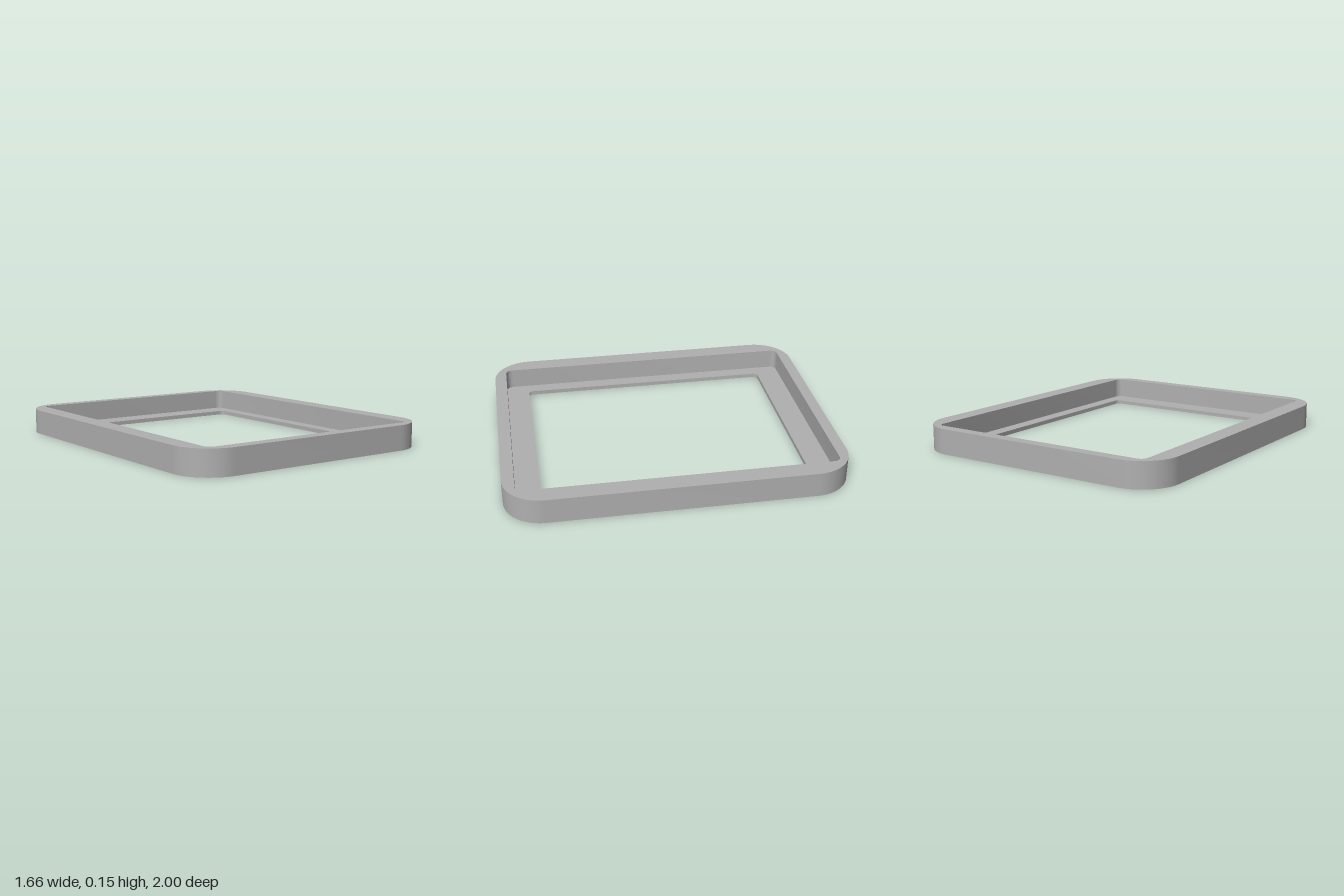
import * as THREE from 'three';
import { toCreasedNormals } from 'three/addons/utils/BufferGeometryUtils.js';

// Rounded rectangle; shape y points to the back (-z)
function roundedRect(path, halfX, back, front, r) {
  path.moveTo(halfX, -front + r);
  path.lineTo(halfX, back - r);
  path.absarc(halfX - r, back - r, r, 0, Math.PI / 2);
  path.lineTo(-halfX + r, back);
  path.absarc(-halfX + r, back - r, r, Math.PI / 2, Math.PI);
  path.lineTo(-halfX, -front + r);
  path.absarc(-halfX + r, -front + r, r, Math.PI, Math.PI * 1.5);
  path.lineTo(halfX - r, -front);
  path.absarc(halfX - r, -front + r, r, Math.PI * 1.5, Math.PI * 2);
  return path;
}

// Ring between an outline and an opening, from height y0 to y1
function ring(name, opening, y0, y1, material) {
  const shape = roundedRect(new THREE.Shape(), 0.83, 1, 1, 0.23);
  shape.holes.push(opening);
  const flat = new THREE.ExtrudeGeometry(shape, { depth: y1 - y0, bevelEnabled: false, curveSegments: 20 });
  flat.rotateX(-Math.PI / 2);
  flat.translate(0, y0, 0);
  const mesh = new THREE.Mesh(toCreasedNormals(flat, 0.6), material);
  mesh.name = name;
  return mesh;
}

export function createModel() {
  const group = new THREE.Group();
  group.name = 'bezelFrame';
  const grey = new THREE.MeshStandardMaterial({ color: 0xb0b0b0 });
  grey.name = 'grey';

  // Outer wall around the recess
  const recess = roundedRect(new THREE.Path(), 0.717, 0.933, 0.927, 0.04);
  group.add(ring('outerWall', recess, 0.025, 0.15, grey));

  // Inner lip at the bottom
  const opening = roundedRect(new THREE.Path(), 0.633, 0.785, 0.797, 0.035);
  group.add(ring('innerLip', opening, 0, 0.019, grey));

  // Thin top of the lip, overhanging slightly along the front edge
  const r = 0.035, x = 0.633, back = 0.785;
  const lipTop = new THREE.Path();
  lipTop.moveTo(x, -0.762);
  lipTop.lineTo(x, back - r);
  lipTop.absarc(x - r, back - r, r, 0, Math.PI / 2);
  lipTop.lineTo(-x + r, back);
  lipTop.absarc(-x + r, back - r, r, Math.PI / 2, Math.PI);
  lipTop.lineTo(-x, -0.762);
  lipTop.lineTo(-x + 0.008, -0.785);
  lipTop.lineTo(x - 0.008, -0.785);
  lipTop.closePath();
  group.add(ring('lipTop', lipTop, 0.019, 0.025, grey));

  return group;
}
